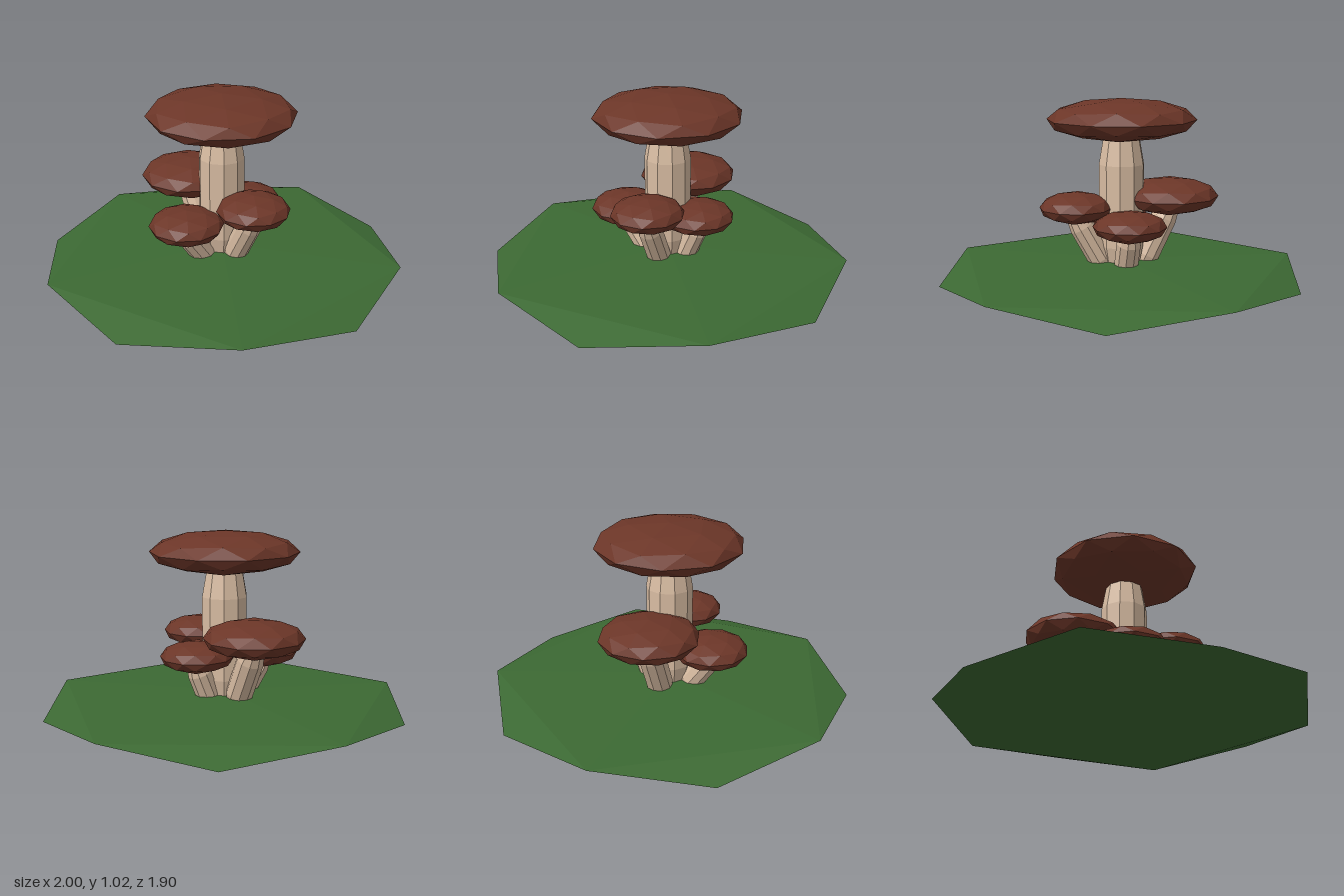
import * as THREE from 'three';

const material = (color) => new THREE.MeshStandardMaterial({ color, flatShading: true });
const grassMat = material(0x3c6933);
const capMat = material(0x6c3628);
const stemMat = material(0xd8bca2);

// Squashed icosphere standing on one of its corners
function flatBall(name, mat, radius, halfHeight, detail, position) {
  const geo = new THREE.IcosahedronGeometry(1, detail);
  geo.rotateZ(Math.atan(2 / (1 + Math.sqrt(5))));
  geo.scale(radius, halfHeight, radius);
  const mesh = new THREE.Mesh(geo, mat);
  mesh.name = name;
  mesh.position.copy(position);
  return mesh;
}

// Ten-sided stem, narrowed at both ends, running from one point to another
function stem(name, radius, from, to) {
  const axis = to.clone().sub(from);
  const length = axis.length();
  const profile = [[0, 0], [0.8, 0], [1, 0.17], [1, 0.8], [0.8, 1], [0, 1]]
    .map(([r, h]) => new THREE.Vector2(r * radius, h * length));
  const geo = new THREE.LatheGeometry(profile, 10);
  geo.rotateY(Math.PI / 2);
  const mesh = new THREE.Mesh(geo, stemMat);
  mesh.name = name;
  mesh.position.copy(from);
  mesh.quaternion.setFromUnitVectors(new THREE.Vector3(0, 1, 0), axis.normalize());
  return mesh;
}

export function createModel() {
  const group = new THREE.Group();
  group.name = 'mushroomCluster';

  // Low grassy mound
  group.add(flatBall('grassMound', grassMat, Math.sqrt(5) / 2, 0.066, 0, new THREE.Vector3(0, 0.066, 0)));

  // One tall mushroom and four small ones leaning outwards
  const mushrooms = [
    { name: 'main', foot: [0, 0.09, 0], cap: [0, 0.905, 0], r: 0.41, h: 0.115, stemR: 0.127, sink: 0.1 },
    { name: 'right', foot: [-0.115, 0.09, 0], cap: [-0.275, 0.475, 0], r: 0.272, h: 0.099, stemR: 0.075, sink: 0.06 },
    { name: 'left', foot: [0.095, 0.09, 0], cap: [0.255, 0.43, 0], r: 0.2, h: 0.085, stemR: 0.068, sink: 0.05 },
    { name: 'front', foot: [0, 0.09, 0.115], cap: [-0.005, 0.328, 0.25], r: 0.205, h: 0.086, stemR: 0.068, sink: 0.05 },
    { name: 'back', foot: [0, 0.09, -0.095], cap: [0, 0.348, -0.182], r: 0.2, h: 0.083, stemR: 0.068, sink: 0.05 },
  ];
  for (const m of mushrooms) {
    const cap = new THREE.Vector3(...m.cap);
    const top = cap.clone();
    top.y -= m.sink;
    group.add(stem(m.name + 'Stem', m.stemR, new THREE.Vector3(...m.foot), top));
    group.add(flatBall(m.name + 'Cap', capMat, m.r, m.h, 1, cap));
  }
  return group;
}
